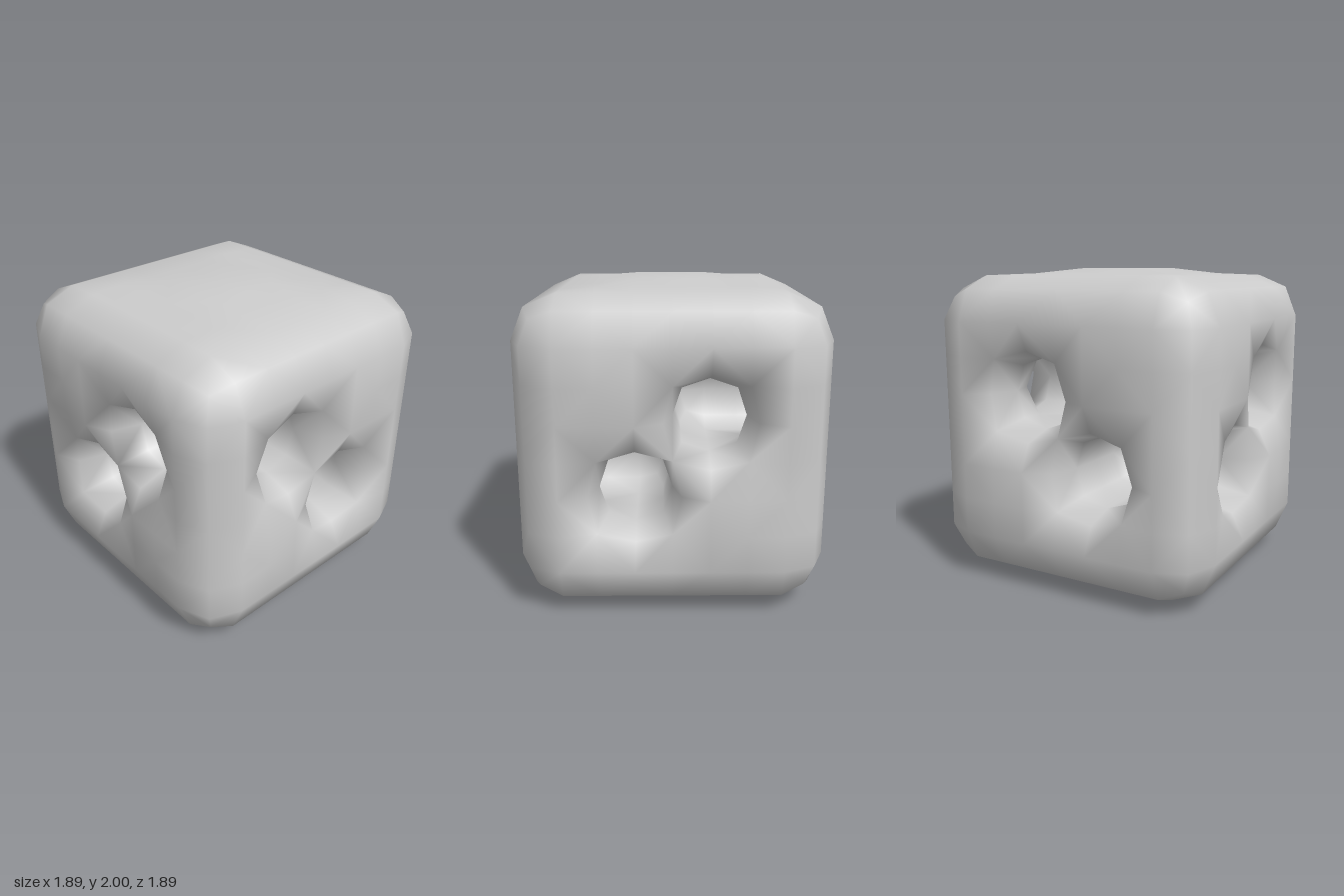
import * as THREE from 'three';

// Four L-shaped tunnels, in alternating octants, each joining two side faces.
// Cells run over a 4 x 4 x 4 block, with centres at -1.5, -0.5, 0.5, 1.5.
function airType(x, y, z) {
  if (Math.max(Math.abs(x), Math.abs(y), Math.abs(z)) > 2) return 'outside';
  const tunnel = Math.abs(y) < 1 && x * y * z > 0 && (Math.abs(x) < 1 || Math.abs(z) < 1);
  return tunnel ? `tunnel${Math.sign(x)}${Math.sign(y)}` : null;
}

// Quads between solid cells and air
function blockSurface() {
  const verts = [], quads = [], ids = new Map();
  const vertex = (p, air) => {
    // where two tunnels touch along an edge, each keeps its own vertices
    const pinched = p.filter((v) => v === 0).length >= 2 && p.every((v) => Math.abs(v) <= 1);
    const key = p.map((v) => v + 0).join() + (pinched ? air : '');
    if (!ids.has(key)) {
      ids.set(key, verts.length);
      verts.push(new THREE.Vector3(...p).multiplyScalar(0.5));
    }
    return ids.get(key);
  };
  const steps = [-1.5, -0.5, 0.5, 1.5];
  for (const x of steps) for (const y of steps) for (const z of steps) {
    if (airType(x, y, z)) continue;
    for (let a = 0; a < 3; a++) for (const s of [-1, 1]) {
      const next = [x, y, z];
      next[a] += s;
      const air = airType(...next);
      if (!air) continue;
      const quad = [[-1, -1], [1, -1], [1, 1], [-1, 1]].map(([u, v]) => {
        const p = [x, y, z];
        p[a] += s / 2;
        p[(a + 1) % 3] += u / 2;
        p[(a + 2) % 3] += v / 2;
        return vertex(p, air);
      });
      quads.push(s > 0 ? quad : quad.reverse());
    }
  }
  return { verts, quads };
}

const mean = (list) => list.reduce((m, v) => m.add(v), new THREE.Vector3()).divideScalar(list.length);

// One round of Catmull-Clark smoothing
function subdivide({ verts, quads }) {
  const centres = quads.map((q) => mean(q.map((i) => verts[i])));
  const edges = new Map();
  const edgeKey = (a, b) => (a < b ? `${a}_${b}` : `${b}_${a}`);
  const around = verts.map(() => ({ faces: [], mids: [] }));
  quads.forEach((q, f) => q.forEach((a, k) => {
    const b = q[(k + 1) % 4], key = edgeKey(a, b);
    around[a].faces.push(centres[f]);
    if (!edges.has(key)) {
      edges.set(key, { a, b, faces: [] });
      const mid = mean([verts[a], verts[b]]);
      around[a].mids.push(mid);
      around[b].mids.push(mid);
    }
    edges.get(key).faces.push(centres[f]);
  }));
  const out = verts.map((v, i) => {
    const n = around[i].faces.length;
    return mean(around[i].faces)
      .addScaledVector(mean(around[i].mids), 2)
      .addScaledVector(v, n - 3)
      .divideScalar(n);
  });
  for (const e of edges.values()) {
    e.id = out.length;
    out.push(mean([verts[e.a], verts[e.b], ...e.faces]));
  }
  const fine = [];
  quads.forEach((q, f) => {
    const c = out.length;
    out.push(centres[f]);
    q.forEach((a, k) => fine.push([
      a, edges.get(edgeKey(a, q[(k + 1) % 4])).id, c, edges.get(edgeKey(q[(k + 3) % 4], a)).id,
    ]));
  });
  return { verts: out, quads: fine };
}

// Piecewise linear lookup
function lookup(x, table) {
  for (let i = 1; i < table.length; i++) {
    const [x0, y0] = table[i - 1], [x1, y1] = table[i];
    if (x <= x1) return y0 + ((x - x0) / (x1 - x0)) * (y1 - y0);
  }
  return table[table.length - 1][1];
}

const SIDE = [[0, 0], [0.75, 0.672], [0.9375, 0.865], [1, 0.945]];
const HEIGHT = [[0, 0], [0.75, 0.68], [0.9375, 0.875], [1, 0.955]];
const SWELL = [[0, 0.045], [0.25, 0.045], [0.5, 0.012], [0.75, 0]];

// Puffs the sides, and swells the middle of the top and bottom
function shape(v) {
  const remap = (c, table) => Math.sign(c) * lookup(Math.abs(c), table);
  let y = remap(v.y, HEIGHT);
  if (Math.abs(v.y) > 0.99) y += Math.sign(y) * lookup(Math.max(Math.abs(v.x), Math.abs(v.z)), SWELL);
  return [remap(v.x, SIDE), y + 1, remap(v.z, SIDE)];
}

export function createModel() {
  const grey = new THREE.MeshStandardMaterial({ color: 0xcccccc });
  grey.name = 'light grey';

  const { verts, quads } = subdivide(blockSurface());
  const geometry = new THREE.BufferGeometry();
  geometry.setAttribute('position', new THREE.Float32BufferAttribute(verts.flatMap(shape), 3));
  geometry.setIndex(quads.flatMap(([a, b, c, d]) => [a, b, c, a, c, d]));
  geometry.computeVertexNormals();

  const body = new THREE.Mesh(geometry, grey);
  body.name = 'tunnelledCube';
  const group = new THREE.Group();
  group.name = 'roundedCubeWithTunnels';
  group.add(body);
  return group;
}
